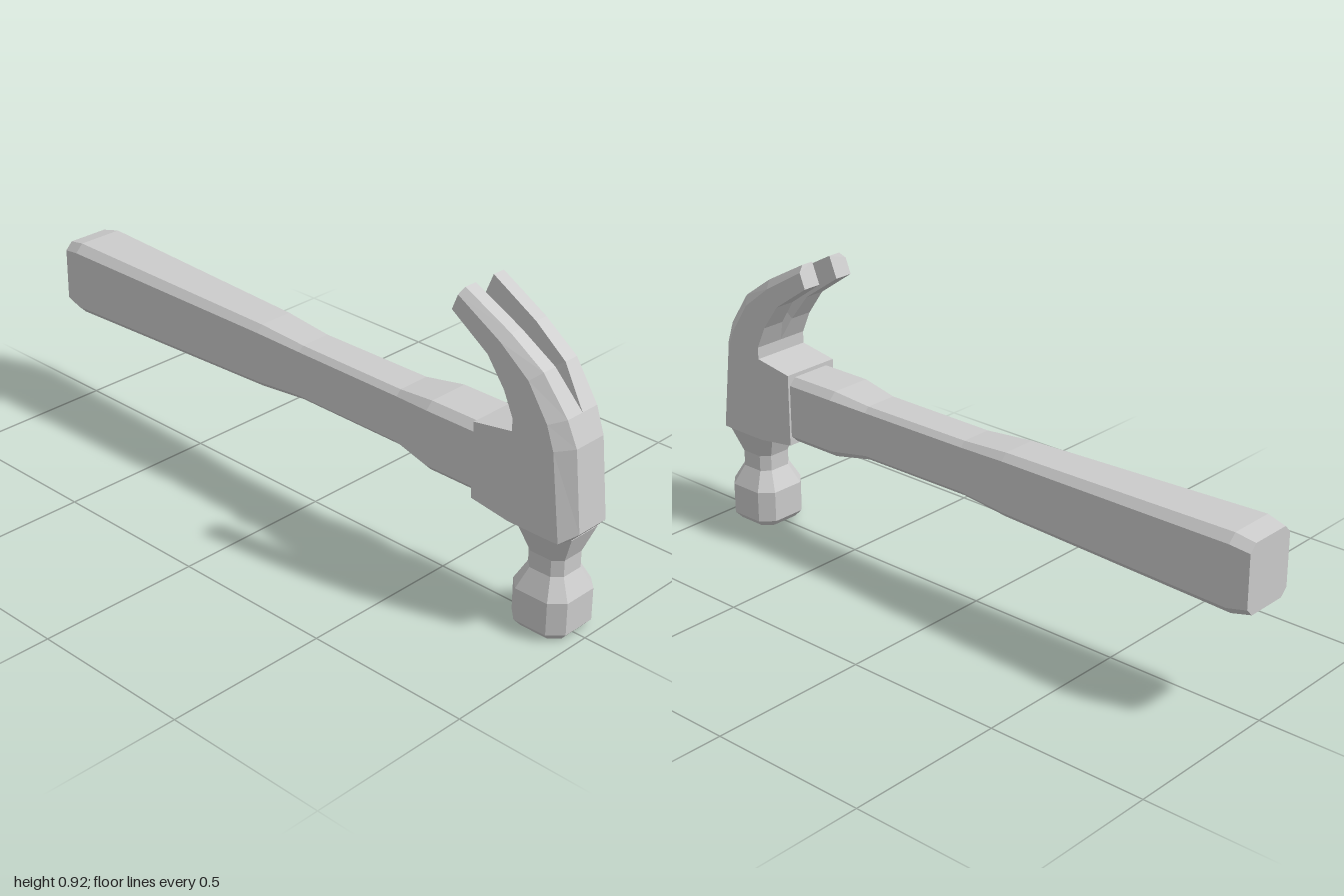
import * as THREE from 'three';

const material = new THREE.MeshStandardMaterial({ color: 0xcccccc, flatShading: true, side: THREE.DoubleSide });

// Joins equal-sized rings of [x, y, z] points into a faceted, capped solid facing outward.
function loft(name, rings) {
  const tris = [];
  const n = rings[0].length;
  for (let r = 0; r < rings.length - 1; r++) {
    for (let i = 0; i < n; i++) {
      const j = (i + 1) % n;
      const a = rings[r][i], b = rings[r][j], c = rings[r + 1][j], d = rings[r + 1][i];
      // Faces lying on the centre plane are hidden inside the head
      if ([a, b, c, d].every(p => p[0] === 0)) continue;
      tris.push([a, b, c], [a, c, d]);
    }
  }
  const first = rings[0], last = rings[rings.length - 1];
  for (let i = 1; i < n - 1; i++) {
    tris.push([first[0], first[i + 1], first[i]], [last[0], last[i], last[i + 1]]);
  }
  // Signed volume tells whether the winding must be reversed
  let volume = 0;
  for (const [a, b, c] of tris) {
    const [u, v, w] = [a, b, c].map(p => new THREE.Vector3(...p));
    volume += u.dot(v.cross(w));
  }
  if (volume < 0) tris.forEach(t => t.reverse());
  const geometry = new THREE.BufferGeometry();
  geometry.setAttribute('position', new THREE.Float32BufferAttribute(tris.flat(2), 3));
  geometry.computeVertexNormals();
  const mesh = new THREE.Mesh(geometry, material);
  mesh.name = name;
  return mesh;
}

// Rectangle with cut corners: half sizes w, h and corner cut c
function cutRect(w, h, c) {
  return [
    [w, h - c], [w - c, h], [c - w, h], [-w, h - c],
    [-w, c - h], [c - w, -h], [w - c, -h], [w, c - h],
  ];
}

export function createModel() {
  const group = new THREE.Group();

  // Handle: z, top, bottom, half width, corner cut
  const handle = [
    [0.74, 0.545, 0.337, 0.087, 0.022],
    [0.5, 0.545, 0.337, 0.087, 0.022],
    [0.375, 0.528, 0.359, 0.068, 0.016],
    [0, 0.528, 0.359, 0.065, 0.016],
    [-0.16, 0.541, 0.346, 0.075, 0.02],
    [-0.94, 0.559, 0.328, 0.097, 0.025],
    [-1, 0.546, 0.34, 0.088, 0.023],
  ].map(([z, top, bottom, w, c]) =>
    cutRect(w, (top - bottom) / 2, c).map(([x, y]) => [x, y + (top + bottom) / 2, z]));
  group.add(loft('handle', handle));

  // Striking face and neck: y, half width, corner cut
  const poll = [
    [0, 0.073, 0.028],
    [0.022, 0.092, 0.038],
    [0.12, 0.092, 0.038],
    [0.18, 0.06, 0.025],
    [0.23, 0.06, 0.025],
    [0.312, 0.092, 0.038],
  ].map(([y, w, c]) => cutRect(w, w, c).map(([x, z]) => [x, y, z + 0.885]));
  group.add(loft('strikingFaceAndNeck', poll));

  // Socket that holds the handle
  const socket = [[0.797, 0.578, 0.312], [0.67, 0.557, 0.33]].map(([z, top, bottom]) =>
    [[0.094, top, z], [-0.094, top, z], [-0.094, bottom, z], [0.094, bottom, z]]);
  group.add(loft('handleSocket', socket));

  // Head and claw: front z, y; bevel z, y; back z, y; bevel x; half gap
  const claw = [
    [0.975, 0.312, 0.94, 0.312, 0.797, 0.312, 0.054, 0],
    [1.0, 0.34, 0.963, 0.313, 0.797, 0.33, 0.054, 0],
    [0.975, 0.578, 0.932, 0.57, 0.797, 0.578, 0.054, 0],
    [0.945, 0.652, 0.908, 0.638, 0.797, 0.615, 0.059, 0],
    [0.867, 0.76, 0.842, 0.738, 0.765, 0.685, 0.066, 0.02],
    [0.76, 0.834, 0.746, 0.813, 0.707, 0.765, 0.07, 0.029],
    [0.61, 0.915, 0.602, 0.897, 0.583, 0.85, 0.075, 0.035],
  ];
  for (const [side, name] of [[1, 'leftClaw'], [-1, 'rightClaw']]) {
    const rings = claw.map(([fz, fy, mz, my, bz, by, c, g]) => [
      [side * g, fy, fz], [side * c, fy, fz], [side * 0.094, my, mz],
      [side * 0.094, by, bz], [side * g, by, bz],
    ].map(([x, y, z]) => [x === 0 ? 0 : x, y, z]));
    group.add(loft(name, rings));
  }
  return group;
}
